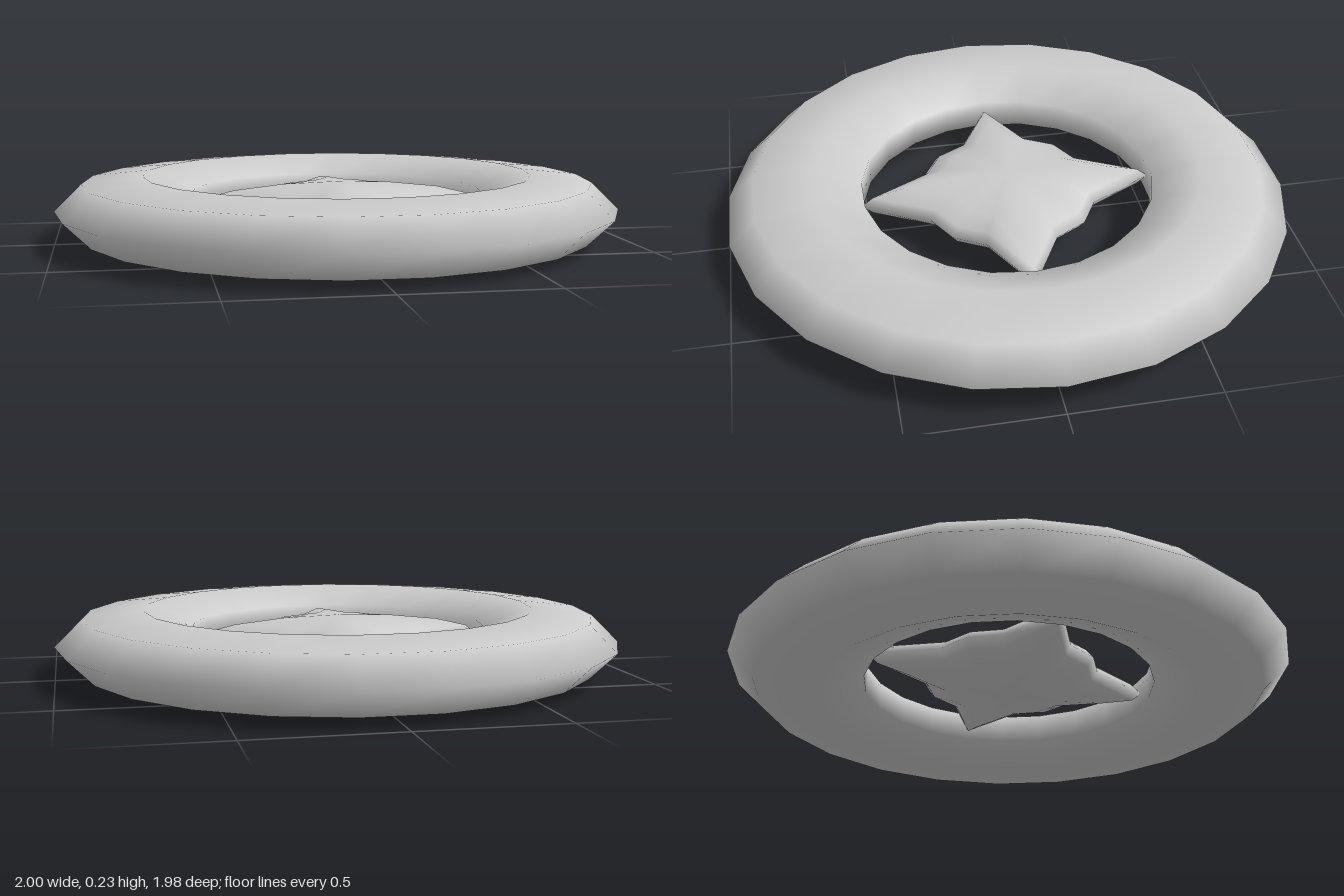
import * as THREE from 'three';
import { mergeVertices } from 'three/addons/utils/BufferGeometryUtils.js';

const MID = 0.117; // height of the shared middle plane

// Weld the seams so the normals are smooth all the way round
function smooth(geometry) {
  geometry.deleteAttribute('uv');
  geometry.deleteAttribute('normal');
  const welded = mergeVertices(geometry, 1e-4);
  welded.computeVertexNormals();
  return welded;
}

export function createModel() {
  const group = new THREE.Group();
  const material = new THREE.MeshStandardMaterial({ color: 0xcccccc });
  const add = (name, geometry) => {
    const mesh = new THREE.Mesh(smooth(geometry), material);
    mesh.name = name;
    mesh.position.y = MID;
    group.add(mesh);
  };

  // Flattened ring: seven-sided tube, 22 segments round
  const ring = new THREE.TorusGeometry(0.748, 0.252, 7, 22);
  ring.rotateX(-Math.PI / 2);
  ring.scale(1, 0.12 / 0.252, 1);
  add('ring', ring);

  // Pillow-shaped star: a flat 16-sided ball with every fourth column drawn out to a point
  const star = new THREE.SphereGeometry(1, 16, 8);
  const radii = [0.525, 0.32, 0.33, 0.32];
  const p = star.attributes.position;
  for (let i = 0; i < p.count; i++) {
    const x = p.getX(i), z = p.getZ(i);
    const column = Math.round((Math.atan2(z, x) / (Math.PI * 2)) * 16 + 16) % 4;
    p.setXYZ(i, x * radii[column], p.getY(i) * 0.085, z * radii[column]);
  }
  add('star', star);

  return group;
}
